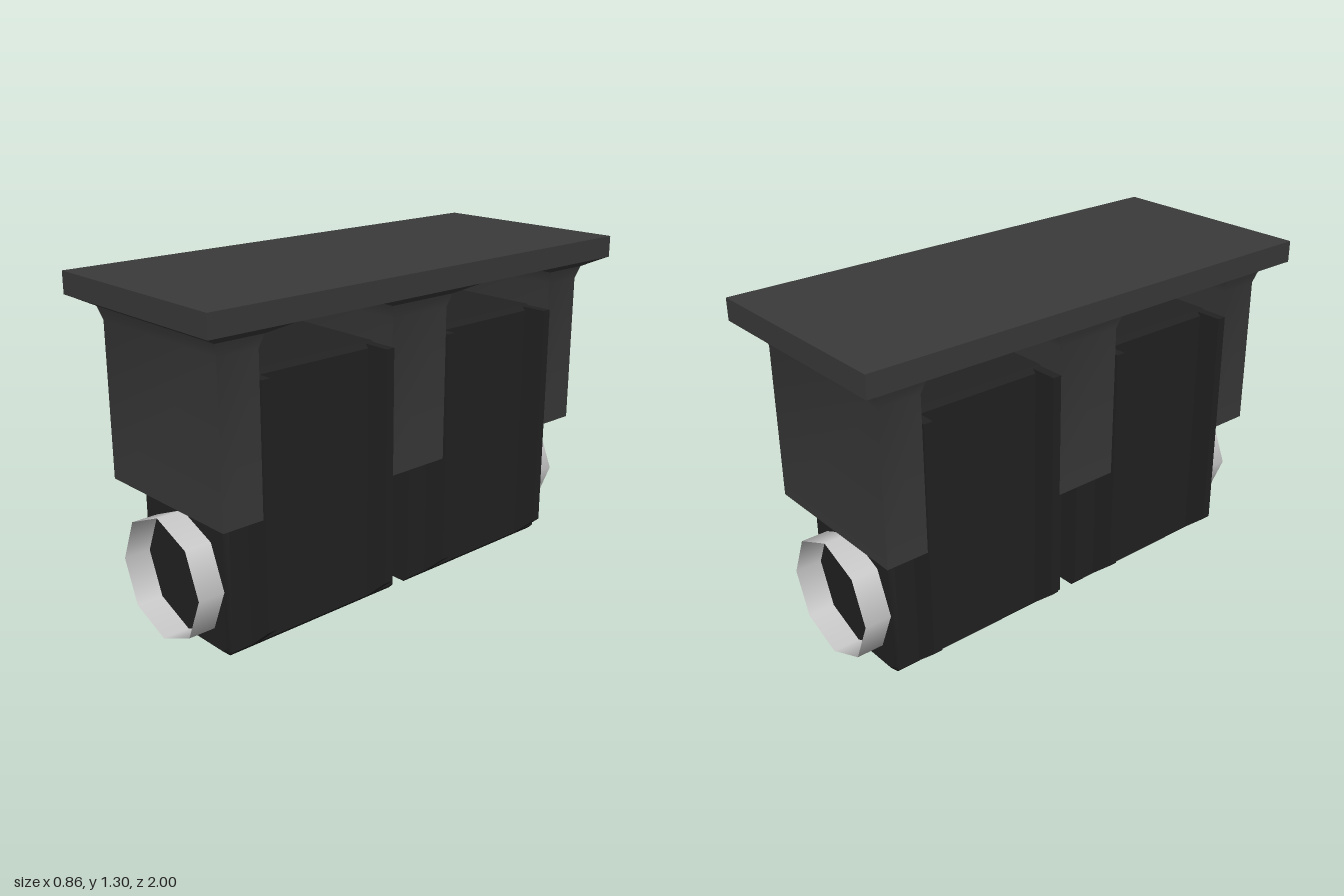
import * as THREE from 'three';
import { toCreasedNormals } from 'three/addons/utils/BufferGeometryUtils.js';

const frameMat = new THREE.MeshStandardMaterial({ color: 0x3a3a3a });
const bodyMat = new THREE.MeshStandardMaterial({ color: 0x222222 });
const ringMat = new THREE.MeshStandardMaterial({ color: 0xcccccc, side: THREE.DoubleSide });

// Skin over matching rings (counter-clockwise seen from the far end), capped at both ends
function loft(rings) {
  const n = rings[0].length;
  const index = [];
  for (let r = 0; r < rings.length - 1; r++) {
    for (let i = 0; i < n; i++) {
      const j = (i + 1) % n, a = r * n, b = a + n;
      index.push(a + i, a + j, b + j, a + i, b + j, b + i);
    }
  }
  const last = (rings.length - 1) * n;
  for (let i = 1; i < n - 1; i++) {
    index.push(0, i + 1, i, last, last + i, last + i + 1);
  }
  const geo = new THREE.BufferGeometry();
  geo.setAttribute('position', new THREE.Float32BufferAttribute(rings.flat(2), 3));
  geo.setIndex(index);
  return toCreasedNormals(geo, 0.6);
}

function add(parent, name, geometry, material) {
  const mesh = new THREE.Mesh(geometry, material);
  mesh.name = name;
  parent.add(mesh);
  return mesh;
}

// Support leg that flares out under the top plate
function legGeometry(z0, z1) {
  const profile = [[0.53, 0], [1.13, 0], [1.18, 0.015], [1.22, 0.093]];
  return loft(profile.map(([y, f]) => {
    const x = 0.337 + f;
    return [[x, y, z1 + f], [x, y, z0 - f], [-x, y, z0 - f], [-x, y, z1 + f]];
  }));
}

// Block with chamfered long edges and a chamfered outer end
function bodyGeometry() {
  const c = 0.02;
  const ring = (z, inset) => {
    const x = 0.25 - inset, lo = inset, hi = 1.03 - inset;
    return [
      [x, lo + c, z], [x, hi - c, z], [x - c, hi, z], [-x + c, hi, z],
      [-x, hi - c, z], [-x, lo + c, z], [-x + c, lo, z], [x - c, lo, z],
    ];
  };
  return loft([ring(0.04, 0), ring(0.82, 0), ring(0.838, 0.015)]);
}

// Flat rib plate with cut lower corners
function ribGeometry() {
  const shape = new THREE.Shape([
    [-0.23, 0.002], [0.23, 0.002], [0.348, 0.105], [0.348, 1.025], [-0.348, 1.025], [-0.348, 0.105],
  ].map(([x, y]) => new THREE.Vector2(x, y)));
  return new THREE.ExtrudeGeometry(shape, { depth: 0.036, bevelEnabled: false });
}

// One block with its ribs and the open ring on its outer end
function createUnit(name) {
  const unit = new THREE.Group();
  unit.name = name;
  add(unit, 'body', bodyGeometry(), bodyMat);
  for (const z of [0.14, 0.702]) {
    add(unit, 'rib', ribGeometry(), bodyMat).position.z = z;
  }
  const ring = add(unit, 'endRing', new THREE.CylinderGeometry(0.235, 0.235, 0.107, 8, 1, true), ringMat);
  ring.rotation.x = Math.PI / 2;
  ring.position.set(0, 0.255, 0.8915);
  return unit;
}

export function createModel() {
  const model = new THREE.Group();
  model.name = 'mountedUnits';

  // Top plate and its three legs
  add(model, 'topPlate', new THREE.BoxGeometry(0.864, 0.085, 2), frameMat).position.y = 1.2625;
  add(model, 'frontLeg', legGeometry(0.738, 0.905), frameMat);
  add(model, 'middleLeg', legGeometry(-0.138, 0.138), frameMat);
  add(model, 'backLeg', legGeometry(-0.905, -0.738), frameMat);

  // Two units, back to back
  const back = createUnit('backUnit');
  back.rotation.y = Math.PI;
  model.add(createUnit('frontUnit'), back);
  return model;
}
